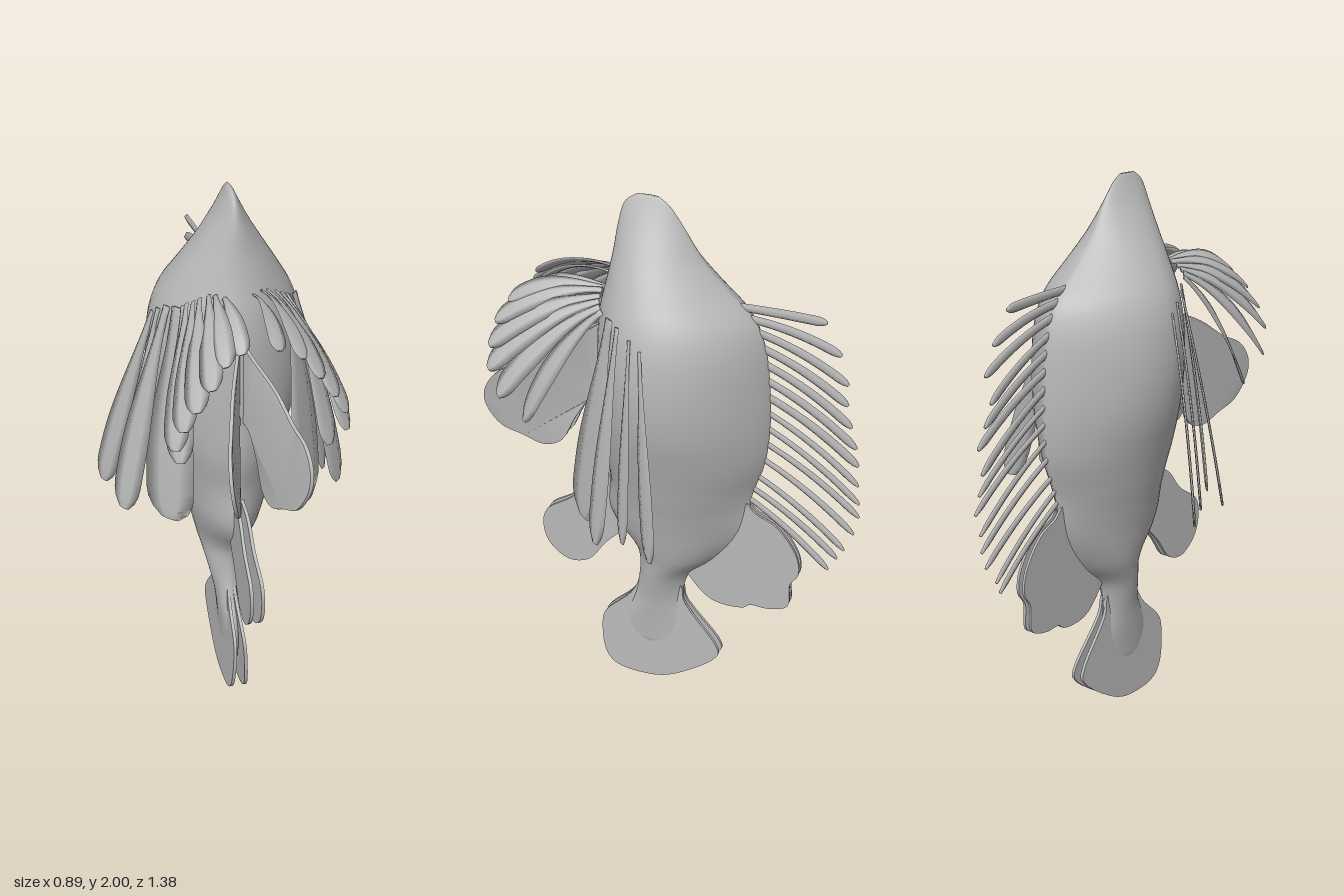
import * as THREE from 'three';
import { toCreasedNormals } from 'three/addons/utils/BufferGeometryUtils.js';

const V = (x, y, z) => new THREE.Vector3(x, y, z);
const CX = -0.014; // the fish's middle plane
const grey = new THREE.MeshStandardMaterial({ color: 0xb8b8b8, side: THREE.DoubleSide });
grey.name = 'fish grey';

// Closed skin over a list of equal rings, wound so that it faces outward
function skin(rings) {
  const n = rings[0].length, pts = rings.flat(), idx = [];
  const middle = r => r.reduce((s, p) => s.add(p), V(0, 0, 0)).divideScalar(n);
  for (let i = 0; i < rings.length - 1; i++) {
    for (let j = 0; j < n; j++) {
      const a = i * n + j, b = i * n + (j + 1) % n;
      idx.push(a, b, a + n, b, b + n, a + n);
    }
  }
  const first = pts.length, last = (rings.length - 1) * n;
  pts.push(middle(rings[0]), middle(rings[rings.length - 1]));
  for (let j = 0; j < n; j++) {
    const k = (j + 1) % n;
    idx.push(first, k, j, first + 1, last + j, last + k);
  }
  let volume = 0;
  for (let i = 0; i < idx.length; i += 3) {
    volume += pts[idx[i]].dot(V(0, 0, 0).crossVectors(pts[idx[i + 1]], pts[idx[i + 2]]));
  }
  if (volume < 0) idx.reverse();
  const g = new THREE.BufferGeometry().setFromPoints(pts);
  g.setIndex(idx);
  g.computeVertexNormals();
  return g;
}

function add(parent, name, geometry) {
  const m = new THREE.Mesh(geometry, grey);
  m.name = name;
  parent.add(m);
}

// Paddle-shaped ray: a bent centre line, a width direction and a narrow lens section
function ray(root, bend, tip, across, width, stem = 0.25, thick = 0.008) {
  const curve = new THREE.QuadraticBezierCurve3(root, bend, tip), rings = [], N = 24;
  for (let i = 0; i <= N; i++) {
    const t = i / N, p = curve.getPoint(t), d = curve.getTangent(t);
    const side = across.clone().addScaledVector(d, -across.dot(d)).normalize();
    const face = V(0, 0, 0).crossVectors(side, d).normalize();
    const grow = stem + (1 - stem) * THREE.MathUtils.smoothstep(t, 0, 0.75);
    const round = t > 0.85 ? Math.max(0.35, Math.sqrt(Math.max(0, 1 - ((t - 0.85) / 0.15) ** 2.5))) : 1;
    const w = width / 2 * grow * round, h = thick / 2;
    rings.push([[w, 0], [w * 0.4, h], [-w * 0.4, h], [-w, 0], [-w * 0.4, -h], [w * 0.4, -h]]
      .map(([a, b]) => p.clone().addScaledVector(side, a).addScaledVector(face, b)));
  }
  return skin(rings);
}

// Flat fin drawn as [z, y] points, then leaned sideways by offset(z, y)
function fin(points, offset, thick = 0.012) {
  const loop = new THREE.CatmullRomCurve3(points.map(([z, y]) => V(z, y, 0)), true, 'centripetal');
  const shape = new THREE.Shape(loop.getPoints(64).slice(0, -1).map(p => new THREE.Vector2(p.x, p.y)));
  const g = new THREE.ExtrudeGeometry(shape, { depth: thick, bevelEnabled: false });
  const pos = g.attributes.position;
  for (let i = 0; i < pos.count; i++) {
    const z = pos.getX(i), y = pos.getY(i), d = pos.getZ(i);
    pos.setXYZ(i, CX + offset(z, y) + thick / 2 - d, y, z);
  }
  g.deleteAttribute('normal');
  return toCreasedNormals(g, 0.6);
}

function bodyGeometry() {
  // y, back z, front z, half width, sharpness of the back and front ridges
  const stations = [
    [2.0, 0.06, 0.14, 0.008, 1.4], [1.97, 0.02, 0.18, 0.022, 1.4], [1.9, -0.03, 0.203, 0.058, 1.4],
    [1.8, -0.092, 0.22, 0.118, 1.4], [1.7, -0.185, 0.243, 0.18, 1.5], [1.6, -0.285, 0.268, 0.235, 1.6],
    [1.5, -0.325, 0.28, 0.263, 1.65], [1.35, -0.345, 0.285, 0.272, 1.7], [1.2, -0.35, 0.285, 0.255, 1.7],
    [1.05, -0.335, 0.28, 0.215, 1.7], [0.9, -0.29, 0.255, 0.175, 1.85], [0.75, -0.27, 0.265, 0.135, 2.4],
    [0.6, -0.16, 0.158, 0.1, 2.2], [0.5, -0.05, 0.143, 0.074, 1.8], [0.38, -0.03, 0.165, 0.048, 1.6],
    [0.27, -0.06, 0.22, 0.036, 1.6], [0.15, -0.08, 0.23, 0.026, 1.6]];
  const a = new THREE.CatmullRomCurve3(stations.map(s => V(s[0], s[1], s[2])));
  const b = new THREE.CatmullRomCurve3(stations.map(s => V(s[0], s[3], s[4])));
  const rings = [], N = 64, M = 48;
  for (let i = 0; i <= N; i++) {
    const p = a.getPoint(i / N), { y: w, z: sharp } = b.getPoint(i / N);
    const mid = p.y + (p.z - p.y) * 0.57, ring = [];
    for (let j = 0; j < M; j++) {
      const t = j / M * Math.PI * 2, c = Math.cos(t), s = Math.sin(t);
      const e = s < 0 ? sharp : 0.76 * sharp; // sharper ridge along the back
      const x = Math.sign(c) * Math.abs(c) ** e * w;
      ring.push(V(CX + x, p.x, mid + s * (s < 0 ? mid - p.y : p.z - mid)));
    }
    rings.push(ring);
  }
  return skin(rings);
}

export function createModel() {
  const model = new THREE.Group();
  model.name = 'fish';
  add(model, 'body', bodyGeometry());

  // Double-layered tail, anal and soft dorsal fins
  const tail = [[0.13, 0.5], [0.145, 0.44], [0.18, 0.37], [0.285, 0.26], [0.297, 0.19], [0.28, 0.07],
    [0.235, 0.02], [0.08, 0.006], [-0.02, 0.04], [-0.18, 0.165], [-0.17, 0.21], [-0.04, 0.38], [-0.025, 0.45], [0.03, 0.5]];
  const anal = [[0.12, 0.93], [0.22, 0.89], [0.33, 0.85], [0.41, 0.76], [0.51, 0.69], [0.53, 0.63], [0.51, 0.54],
    [0.43, 0.475], [0.35, 0.49], [0.27, 0.59], [0.17, 0.675], [0.1, 0.68]];
  const softDorsal = [[-0.15, 0.95], [-0.27, 0.88], [-0.31, 0.84], [-0.39, 0.8], [-0.47, 0.69], [-0.48, 0.61],
    [-0.45, 0.56], [-0.445, 0.46], [-0.37, 0.43], [-0.3, 0.43], [-0.27, 0.41], [-0.15, 0.415], [-0.06, 0.5], [0, 0.62]];
  // Pelvic fin outline
  const pelvic = [[0.24, 1.52], [0.32, 1.48], [0.45, 1.42], [0.55, 1.35], [0.63, 1.31], [0.68, 1.24], [0.685, 1.17],
    [0.64, 1.08], [0.57, 1.04], [0.49, 1.0], [0.43, 1.02], [0.37, 1.13], [0.31, 1.21], [0.24, 1.22]];

  // Fan of raised pectoral rays, inner to outer: root, tip, width
  const fan = [
    [[0.05, 1.67, 0.235], [0.06, 1.61, 0.52], 0.07], [[0.08, 1.68, 0.235], [0.125, 1.6, 0.57], 0.08],
    [[0.1, 1.68, 0.23], [0.175, 1.54, 0.6], 0.085], [[0.13, 1.67, 0.225], [0.225, 1.47, 0.605], 0.095],
    [[0.15, 1.66, 0.22], [0.265, 1.4, 0.595], 0.1], [[0.17, 1.65, 0.21], [0.285, 1.31, 0.555], 0.105],
    [[0.18, 1.64, 0.2], [0.255, 1.21, 0.475], 0.105]];
  // Hanging pectoral rays: root, tip, width
  const hanging = [
    [[0.19, 1.62, 0.17], [0.25, 0.85, 0.265], 0.205], [[0.22, 1.61, 0.13], [0.395, 0.85, 0.16], 0.115],
    [[0.24, 1.58, 0.08], [0.365, 0.85, 0.07], 0.075], [[0.25, 1.55, 0.04], [0.43, 0.84, -0.055], 0.095]];

  for (const s of [1, -1]) {
    const side = new THREE.Group();
    side.name = s > 0 ? 'leftFins' : 'rightFins';
    model.add(side);
    add(side, 'tailFin', fin(tail, (z, y) => s * (0.008 + 0.04 * (0.5 - y))));
    add(side, 'analFin', fin(anal, (z) => s * (0.008 + 0.03 * (z - 0.12))));
    add(side, 'softDorsalFin', fin(softDorsal, (z) => s * (0.006 - 0.015 * z), 0.01));
    add(side, 'pelvicFin', fin(pelvic, (z, y) => s * (z - 0.25) * (0.29 + 0.3 * (y - 1.18))));
    const at = ([x, y, z]) => V(CX + s * x, y, z);
    fan.forEach(([r, t, w], i) => {
      const root = at(r), tip = at(t);
      const bend = root.clone().lerp(tip, 0.5).add(V(s * 0.01, 0.075, 0.02));
      const across = V(s * (0.85 - 0.06 * i), -0.52 - 0.06 * i, 0);
      add(side, 'raisedPectoralRay', ray(root, bend, tip, across, w));
    });
    hanging.forEach(([r, t, w]) => {
      const root = at(r), tip = at(t);
      const bend = root.clone().lerp(tip, 0.5).add(V(s * 0.02, 0, 0));
      add(side, 'hangingPectoralRay', ray(root, bend, tip, V(s * 0.65, 0, -0.75), w));
    });
  }

  // Row of spines down the back, following a root curve and a tip curve
  const roots = new THREE.CatmullRomCurve3([[1.645, -0.22], [1.58, -0.28], [1.49, -0.31], [1.39, -0.33],
    [1.29, -0.335], [1.19, -0.335], [1.09, -0.32], [0.98, -0.28], [0.91, -0.25]].map(([y, z]) => V(0, y, z)));
  const tips = new THREE.CatmullRomCurve3([[1.63, -0.53], [1.455, -0.615], [1.31, -0.62], [1.19, -0.66],
    [1.06, -0.67], [0.95, -0.685], [0.84, -0.675], [0.73, -0.63], [0.65, -0.585]].map(([y, z]) => V(0, y, z)));
  const count = 14;
  for (let i = 0; i < count; i++) {
    const t = i / (count - 1), lean = (i % 3 - 1) * 0.01;
    const root = roots.getPoint(t).add(V(CX, 0, 0)), tip = tips.getPoint(t).add(V(CX + lean, 0, 0));
    const bend = root.clone().lerp(tip, 0.5).add(V(0, i ? 0.03 : 0.005, -0.01));
    add(model, 'dorsalSpine', ray(root, bend, tip, V(0, 1, 0.3), i < 7 ? 0.036 : 0.028, 0.85, 0.01));
  }
  return model;
}
